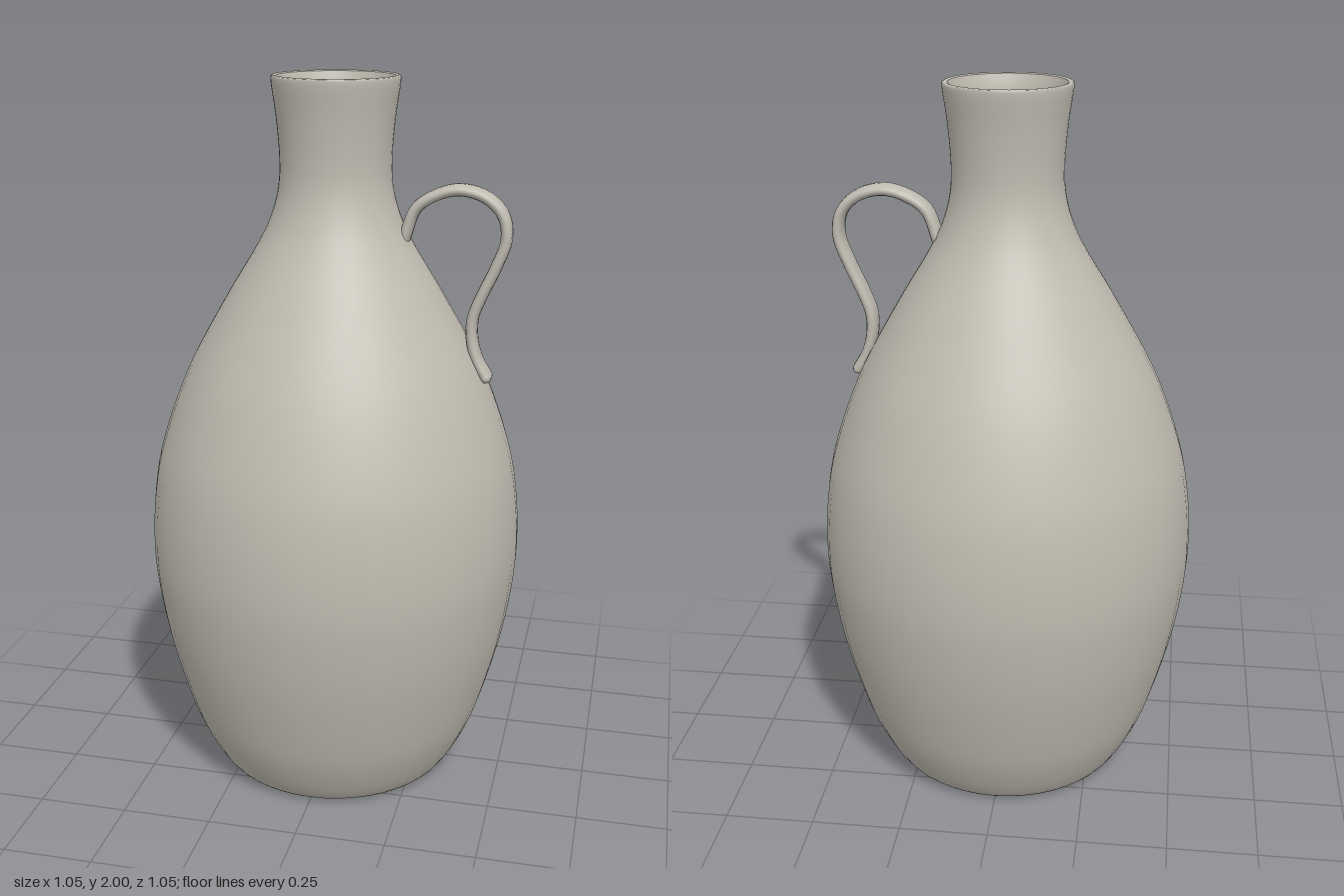
import * as THREE from 'three';
import { mergeVertices } from 'three/addons/utils/BufferGeometryUtils.js';

const clay = new THREE.MeshStandardMaterial({ color: 0xbfbbb0 });
clay.name = 'pale grey clay';

// Smooth list of 2D points through a few [radius, height] pairs
function smooth(pairs, count) {
  return new THREE.SplineCurve(pairs.map(([x, y]) => new THREE.Vector2(x, y))).getPoints(count);
}

function addMesh(group, name, geometry) {
  const mesh = new THREE.Mesh(geometry, clay);
  mesh.name = name;
  group.add(mesh);
  return mesh;
}

export function createModel() {
  const group = new THREE.Group();
  group.name = 'jug';

  // Outer wall from foot to rim, rolled over the lip
  const outer = smooth([
    [0.27, 0.03], [0.285, 0.008], [0.31, 0], [0.342, 0.02], [0.385, 0.09], [0.432, 0.2],
    [0.488, 0.4], [0.518, 0.57], [0.527, 0.7], [0.518, 0.85], [0.488, 1.0], [0.414, 1.2],
    [0.305, 1.4], [0.22, 1.54], [0.18, 1.62], [0.157, 1.7], [0.152, 1.78], [0.16, 1.89],
    [0.173, 1.985], [0.168, 2.0], [0.158, 1.998],
  ], 90);
  addMesh(group, 'body', new THREE.LatheGeometry(outer, 48));

  // Hollow inside, from the lip down to the floor
  const inner = smooth([
    [0.158, 1.998], [0.147, 1.96], [0.138, 1.89], [0.13, 1.78], [0.134, 1.7], [0.157, 1.61],
    [0.28, 1.39], [0.388, 1.19], [0.462, 0.99], [0.5, 0.7], [0.462, 0.4], [0.4, 0.18], [0.32, 0.06],
  ], 50);
  addMesh(group, 'innerWall', new THREE.LatheGeometry(inner, 48));

  // Flat floor inside and recessed base underneath
  const floor = addMesh(group, 'innerFloor', new THREE.CircleGeometry(0.33, 48));
  floor.rotation.x = -Math.PI / 2;
  floor.position.y = 0.062;
  const base = addMesh(group, 'recessedBase', new THREE.CircleGeometry(0.272, 48));
  base.rotation.x = Math.PI / 2;
  base.position.y = 0.03;

  // Strap handle: a tube widened into a rounded band
  const path = new THREE.CatmullRomCurve3([
    [0.19, 1.57], [0.222, 1.655], [0.277, 1.693], [0.34, 1.708], [0.41, 1.69], [0.456, 1.645],
    [0.467, 1.58], [0.44, 1.5], [0.404, 1.42], [0.383, 1.36], [0.383, 1.3], [0.398, 1.245],
    [0.425, 1.198],
  ].map(([x, y]) => new THREE.Vector3(x, y, 0)));
  const r = 0.016, halfWidth = 0.035;
  const widen = (geometry) => {
    const p = geometry.attributes.position;
    for (let i = 0; i < p.count; i++) {
      const z = p.getZ(i);
      p.setZ(i, Math.sign(z) * halfWidth * Math.pow(Math.min(1, Math.abs(z) / r), 0.7));
    }
    geometry.deleteAttribute('uv');
    geometry.deleteAttribute('normal');
    const merged = mergeVertices(geometry, 1e-5);
    merged.computeVertexNormals();
    return merged;
  };
  addMesh(group, 'handle', widen(new THREE.TubeGeometry(path, 64, r, 16, false)));

  // Rounded ends where the handle meets the wall
  for (const t of [0, 1]) {
    const end = addMesh(group, 'handleEnd', widen(new THREE.SphereGeometry(r, 16, 12)));
    end.position.copy(path.getPointAt(t));
  }
  return group;
}
